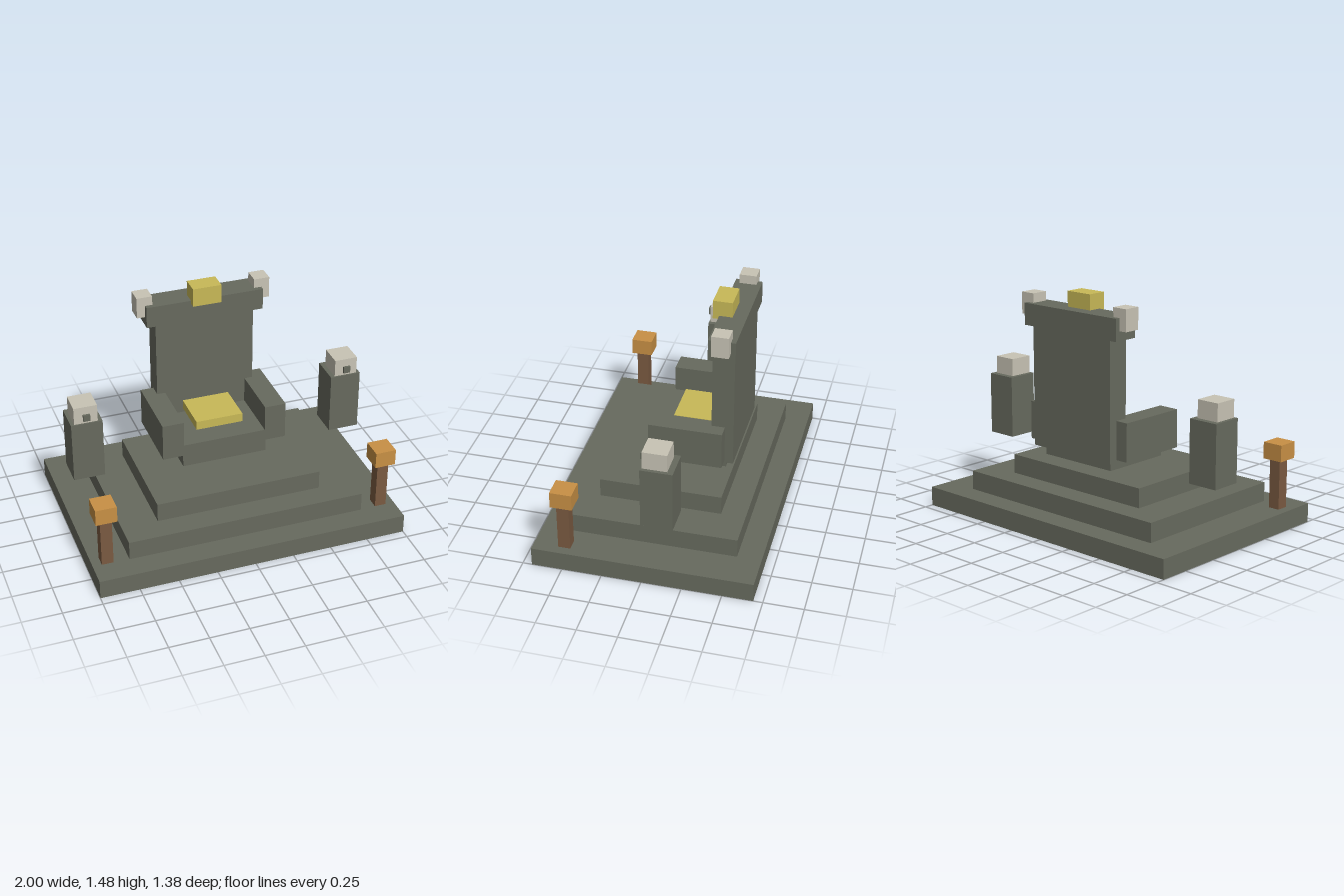
import * as THREE from 'three';

const mat = (name, color) => {
  const m = new THREE.MeshStandardMaterial({ color });
  m.name = name;
  return m;
};

export function createModel() {
  const model = new THREE.Group();
  model.name = 'throne';
  const stone = mat('stone', 0x676a5e);
  const bone = mat('bone', 0xc8c4b5);
  const gold = mat('gold', 0xc8b957);
  const wood = mat('wood', 0x7a5a41);
  const flame = mat('flame', 0xc89045);

  // Box given by its extents on each axis
  const box = (name, material, [x0, x1], [y0, y1], [z0, z1]) => {
    const mesh = new THREE.Mesh(new THREE.BoxGeometry(x1 - x0, y1 - y0, z1 - z0), material);
    mesh.position.set((x0 + x1) / 2, (y0 + y1) / 2, (z0 + z1) / 2);
    mesh.name = name;
    model.add(mesh);
  };
  // Box on the left (+x) and its mirror on the right
  const pair = (name, material, [x0, x1], y, z) => {
    box(name + 'Left', material, [x0, x1], y, z);
    box(name + 'Right', material, [-x1, -x0], y, z);
  };

  // Stepped platform
  [[1, 0.692], [0.768, 0.54], [0.537, 0.386]].forEach(([w, d], i) => {
    box('step' + (i + 1), stone, [-w, w], [i * 0.1235, (i + 1) * 0.1235], [-d, d]);
  });

  // Throne
  box('seat', stone, [-0.277, 0.277], [0.418, 0.573], [-0.354, 0.108]);
  pair('armrest', stone, [0.27, 0.408], [0.497, 0.741], [-0.354, 0.108]);
  box('backrest', stone, [-0.323, 0.323], [0.481, 1.25], [-0.408, -0.27]);
  box('crossbar', stone, [-0.383, 0.383], [1.243, 1.382], [-0.423, -0.255]);
  box('cushion', gold, [-0.154, 0.154], [0.605, 0.663], [-0.265, 0.01]);
  box('crest', gold, [-0.093, 0.093], [1.36, 1.48], [-0.338, -0.216]);
  pair('cornerSkull', bone, [0.335, 0.436], [1.304, 1.441], [-0.393, -0.286]);

  // Guardian pillars with skulls
  pair('pillar', stone, [0.76, 0.96], [0.404, 0.804], [-0.19, 0.009]);
  pair('skull', bone, [0.788, 0.938], [0.768, 0.918], [-0.153, 0]);
  pair('eye', stone, [0.84, 0.884], [0.829, 0.873], [0.011, 0.025]);

  // Torches
  pair('torchPost', wood, [0.868, 0.942], [0.1235, 0.434], [0.459, 0.536]);
  pair('torchFlame', flame, [0.84, 0.974], [0.443, 0.549], [0.427, 0.564]);

  return model;
}
